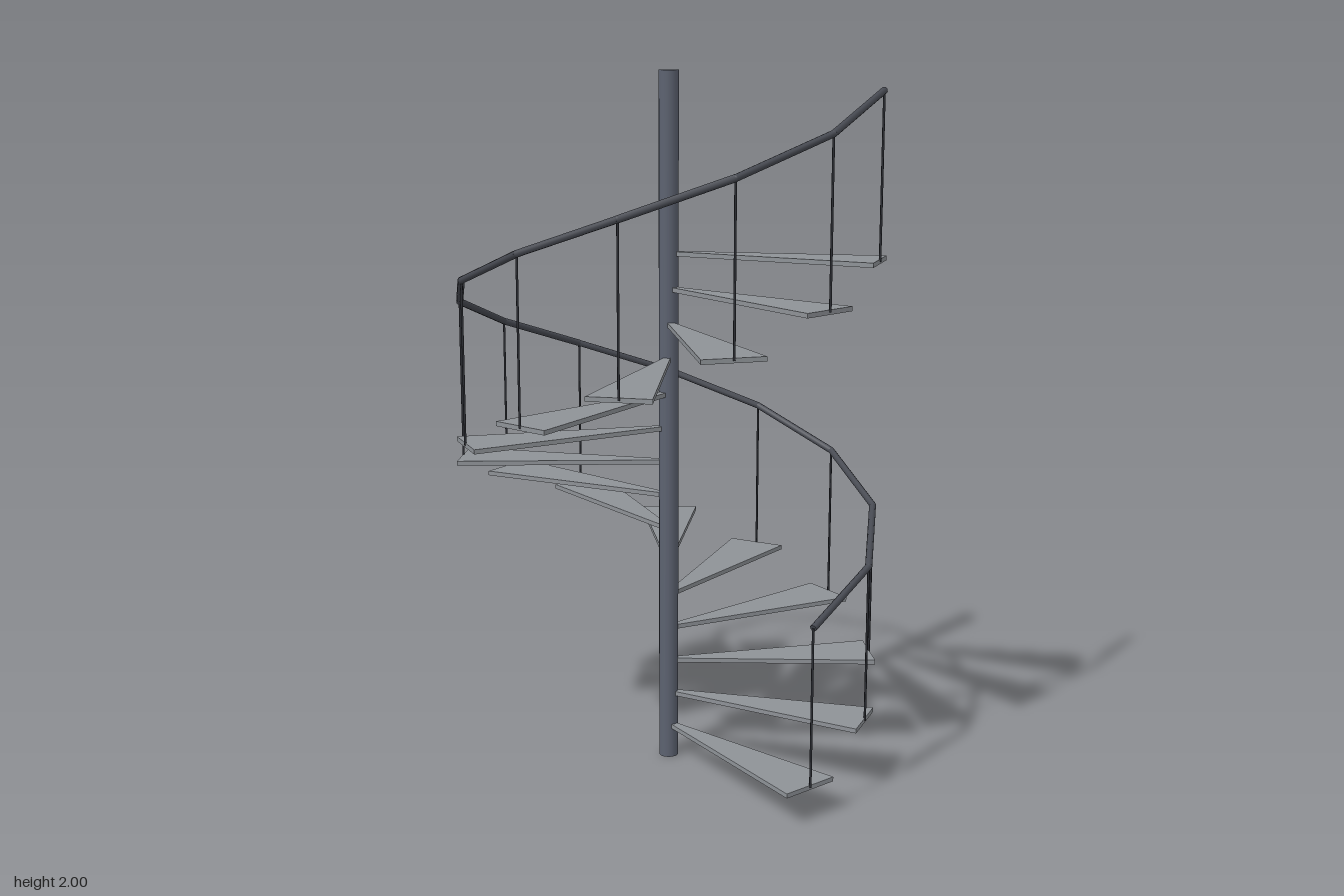
import * as THREE from 'three';

const STEPS = 15;
const TURN = THREE.MathUtils.degToRad(28); // rotation from one step to the next
const RISE = 0.1;
const RADIUS = 0.6;
const RAIL_HEIGHT = 0.45;

const material = (name, color) => {
  const m = new THREE.MeshStandardMaterial({ color });
  m.name = name;
  return m;
};

// Cylinder running between two points
function rod(name, a, b, radius, sides, mat) {
  const dir = b.clone().sub(a);
  const mesh = new THREE.Mesh(new THREE.CylinderGeometry(radius, radius, dir.length(), sides), mat);
  mesh.position.copy(a).add(b).multiplyScalar(0.5);
  mesh.quaternion.setFromUnitVectors(new THREE.Vector3(0, 1, 0), dir.normalize());
  mesh.name = name;
  return mesh;
}

export function createModel() {
  const poleMat = material('slate steel', 0x5c6270);
  const treadMat = material('grey tread', 0x8e9297);
  const railMat = material('dark rail', 0x474a52);
  const postMat = material('black post', 0x2b2d33);

  const model = new THREE.Group();
  model.name = 'spiralStaircase';

  // Central pole
  model.add(rod('pole', new THREE.Vector3(0, 0, 0), new THREE.Vector3(0, 2, 0), 0.028, 16, poleMat));

  // Wedge-shaped tread, laid flat with its top at y = 0
  const wedge = new THREE.Shape([
    new THREE.Vector2(0.01, -0.008),
    new THREE.Vector2(RADIUS, -0.088),
    new THREE.Vector2(RADIUS, 0.088),
    new THREE.Vector2(0.01, 0.008),
  ]);
  const treadGeo = new THREE.ExtrudeGeometry(wedge, { depth: 0.013, bevelEnabled: false });
  treadGeo.rotateX(-Math.PI / 2).translate(0, -0.011, 0);

  const treads = new THREE.Group();
  treads.name = 'treads';
  const posts = new THREE.Group();
  posts.name = 'posts';
  const handrail = new THREE.Group();
  handrail.name = 'handrail';
  const jointGeo = new THREE.SphereGeometry(0.01, 8, 6);

  // Each step carries one post; the rail runs straight from post to post
  let last = null;
  for (let i = 0; i < STEPS; i++) {
    const angle = i * TURN;
    const y = (i + 1) * RISE;
    const tread = new THREE.Mesh(treadGeo, treadMat);
    tread.name = 'tread';
    tread.position.y = y;
    tread.rotation.y = angle;
    treads.add(tread);

    const foot = new THREE.Vector3(RADIUS * Math.cos(angle), y - 0.005, -RADIUS * Math.sin(angle));
    const head = foot.clone().setY(y + RAIL_HEIGHT);
    posts.add(rod('post', foot, head, 0.0035, 6, postMat));

    if (last) handrail.add(rod('railSegment', last, head, 0.01, 8, railMat));
    if (i > 0 && i < STEPS - 1) {
      const joint = new THREE.Mesh(jointGeo, railMat);
      joint.name = 'railJoint';
      joint.position.copy(head);
      handrail.add(joint);
    }
    last = head;
  }
  model.add(treads, posts, handrail);
  return model;
}
